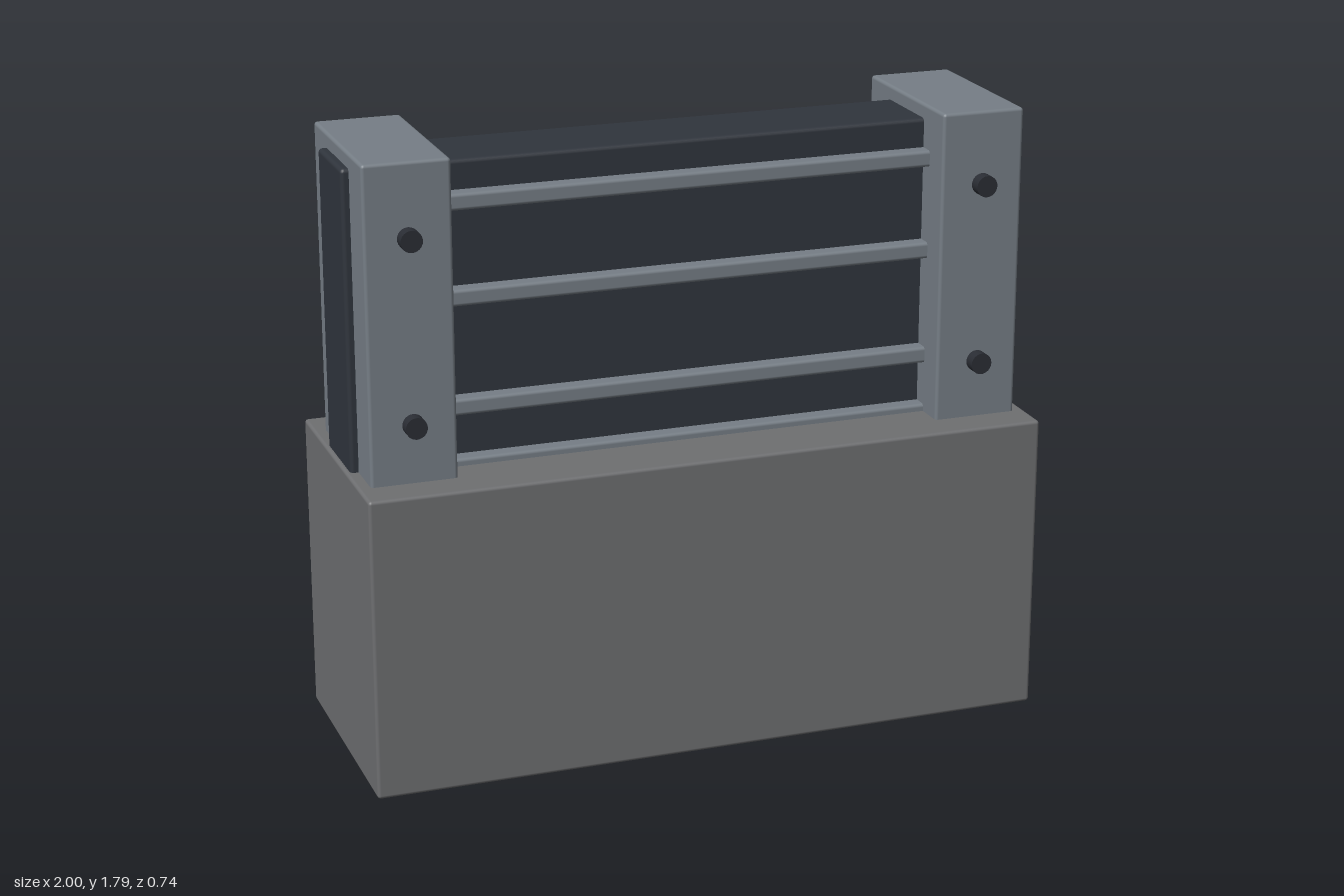
import * as THREE from 'three';
import { RoundedBoxGeometry } from 'three/addons/geometries/RoundedBoxGeometry.js';

const material = (color) => new THREE.MeshStandardMaterial({ color });

export function createModel() {
  const group = new THREE.Group();
  const stone = material(0x6e6f71);
  const steel = material(0x767e86);
  const dark = material(0x30353d);
  const boltDark = material(0x2a2d34);

  // Box with softened edges, given by its min and max corners
  function block(name, mat, [x0, y0, z0], [x1, y1, z1], radius = 0.01) {
    const geometry = new RoundedBoxGeometry(x1 - x0, y1 - y0, z1 - z0, 2, radius);
    const mesh = new THREE.Mesh(geometry, mat);
    mesh.position.set((x0 + x1) / 2, (y0 + y1) / 2, (z0 + z1) / 2);
    mesh.name = name;
    group.add(mesh);
  }

  // Plinth and the wall panel standing in it
  block('base', stone, [-1, 0, -0.368], [1, 0.885, 0.368]);
  block('panel', dark, [-0.988, 0.8, -0.127], [0.988, 1.75, 0.127], 0.012);

  // Horizontal slats on the front of the panel
  for (const y of [0.882, 1.056, 1.371, 1.642]) {
    block('slat', steel, [-0.75, y - 0.024, 0.1], [0.75, y + 0.024, 0.173], 0.01);
  }

  // End posts with two bolts each
  for (const side of [-1, 1]) {
    const x = side * 0.841;
    block('post', steel, [x - 0.124, 0.8, -0.261], [x + 0.124, 1.792, 0.261]);
    for (const y of [1.054, 1.581]) {
      const bolt = new THREE.Mesh(new THREE.CylinderGeometry(0.031, 0.031, 0.06, 24), boltDark);
      bolt.rotation.x = Math.PI / 2;
      bolt.position.set(x, y, 0.268);
      bolt.name = 'bolt';
      group.add(bolt);
    }
  }
  return group;
}
